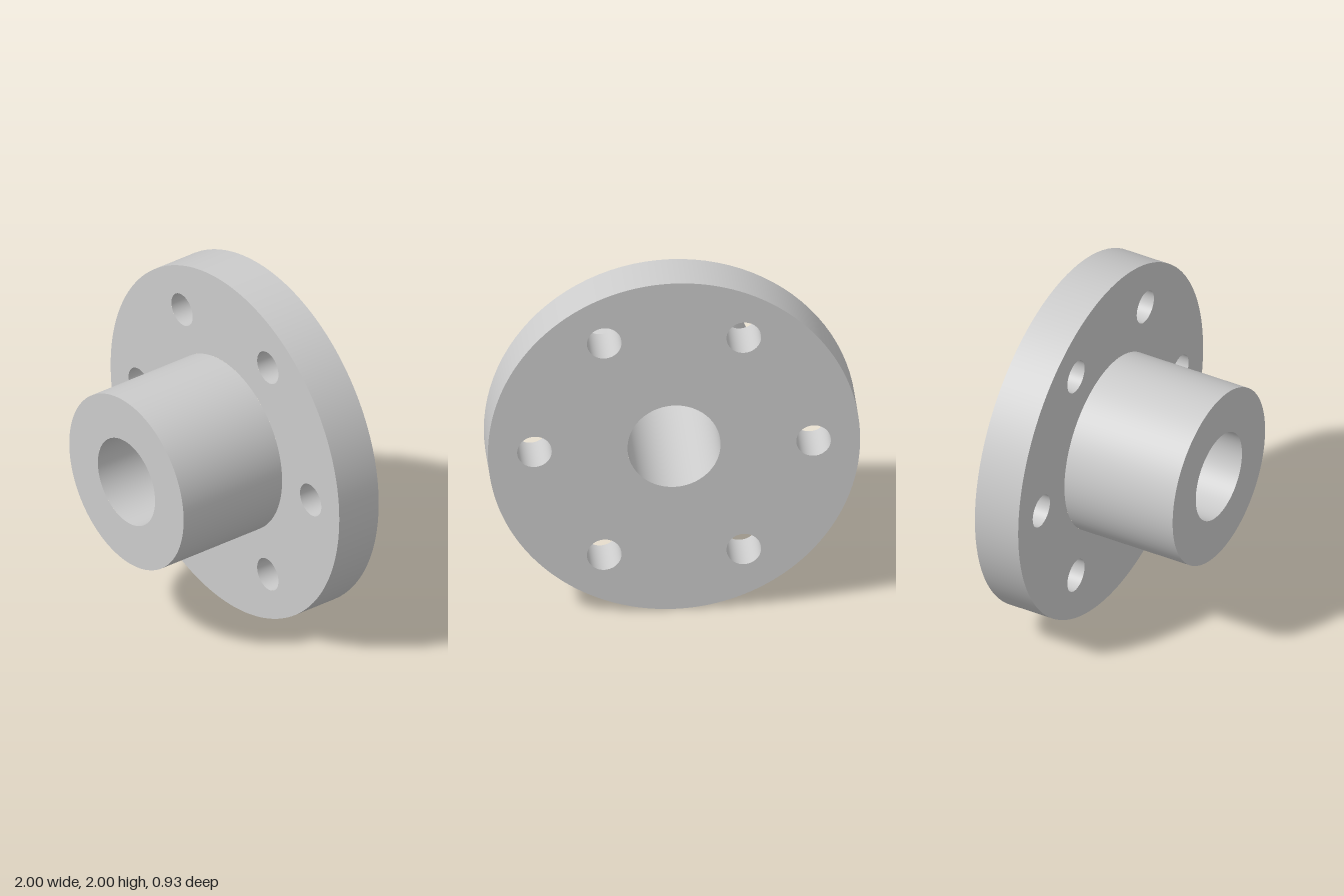
import * as THREE from 'three';

const SEGMENTS = 96;
const BACK = -0.467, STEP = -0.2, FRONT = 0.467;
const FLANGE_R = 1, HUB_R = 0.5, BORE_R = 0.25;
const BOLT_R = 0.093, BOLT_CIRCLE_R = 0.75, BOLT_COUNT = 6;

export function createModel() {
  const model = new THREE.Group();
  model.name = 'flangedHub';
  const material = new THREE.MeshStandardMaterial({ color: 0xcccccc });

  const boltCentres = Array.from({ length: BOLT_COUNT }, (_, i) => {
    const a = (i / BOLT_COUNT) * Math.PI * 2;
    return [BOLT_CIRCLE_R * Math.cos(a), BOLT_CIRCLE_R * Math.sin(a)];
  });

  const addGroup = (name) => {
    const group = new THREE.Group();
    group.name = name;
    group.position.y = 1;
    model.add(group);
    return group;
  };

  const addMesh = (parent, name, geometry) => {
    const mesh = new THREE.Mesh(geometry, material);
    mesh.name = name;
    parent.add(mesh);
    return mesh;
  };

  // Round wall along z: faces outward when z0 < z1, inward when z0 > z1
  const wall = (radius, z0, z1) => new THREE.LatheGeometry(
    [new THREE.Vector2(radius, z0), new THREE.Vector2(radius, z1)], SEGMENTS
  ).rotateX(Math.PI / 2);

  // Flat round face with a central opening and optional bolt holes
  const face = (radius, opening, holes = []) => {
    const shape = new THREE.Shape().absarc(0, 0, radius, 0, Math.PI * 2);
    shape.holes.push(new THREE.Path().absarc(0, 0, opening, 0, Math.PI * 2, true));
    for (const [x, y] of holes) {
      shape.holes.push(new THREE.Path().absarc(x, y, BOLT_R, 0, Math.PI * 2, true));
    }
    return new THREE.ShapeGeometry(shape, SEGMENTS);
  };

  // Flange plate: rim, front face around the hub, and back face
  const flange = addGroup('flange');
  addMesh(flange, 'flangeRim', wall(FLANGE_R, BACK, STEP));
  addMesh(flange, 'flangeFront', face(FLANGE_R, HUB_R, boltCentres).translate(0, 0, STEP));
  addMesh(flange, 'flangeBack',
    face(FLANGE_R, BORE_R, boltCentres).rotateY(Math.PI).translate(0, 0, BACK));

  // Bolt holes through the flange
  boltCentres.forEach(([x, y], i) => {
    addMesh(flange, `boltHole${i + 1}`, wall(BOLT_R, STEP, BACK)).position.set(x, y, 0);
  });

  // Hub sleeve, with the bore running through the whole depth
  const hub = addGroup('hub');
  addMesh(hub, 'hubWall', wall(HUB_R, STEP, FRONT));
  addMesh(hub, 'hubEnd', face(HUB_R, BORE_R).translate(0, 0, FRONT));
  addMesh(hub, 'bore', wall(BORE_R, FRONT, BACK));

  return model;
}
